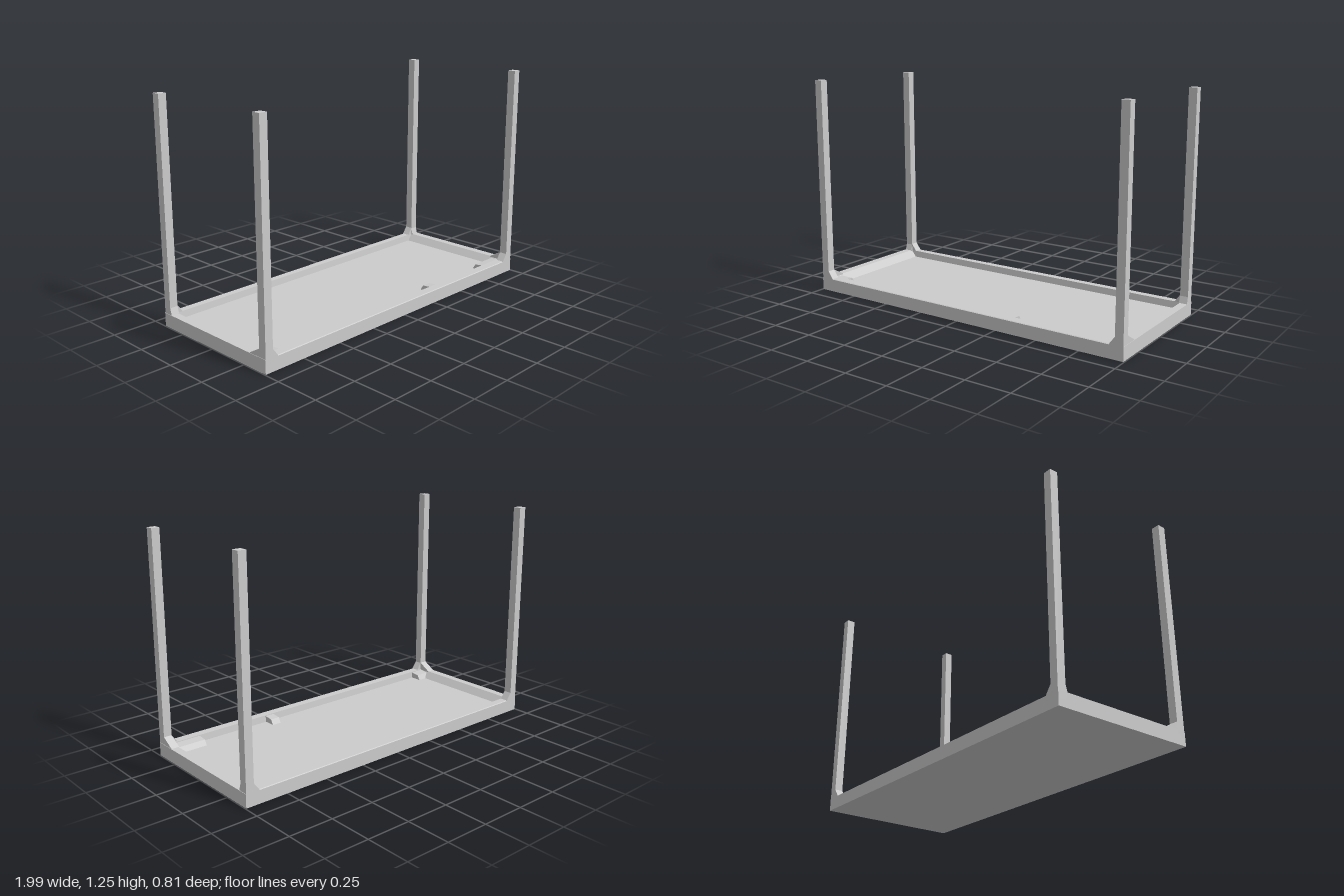
import * as THREE from 'three';

const material = new THREE.MeshStandardMaterial({ color: 0xcccccc, flatShading: true });

function add(group, name, geometry) {
  const mesh = new THREE.Mesh(geometry, material);
  mesh.name = name;
  group.add(mesh);
}

function box(x0, x1, y0, y1, z0, z1) {
  return new THREE.BoxGeometry(x1 - x0, y1 - y0, z1 - z0)
    .translate((x0 + x1) / 2, (y0 + y1) / 2, (z0 + z1) / 2);
}

// Outline in x and y, extruded from z0 to z1
function alongZ(points, z0, z1) {
  const shape = new THREE.Shape(points.map(([x, y]) => new THREE.Vector2(x, y)));
  return new THREE.ExtrudeGeometry(shape, { depth: z1 - z0, bevelEnabled: false }).translate(0, 0, z0);
}

// Outline in z and y, extruded from x0 to x1
function alongX(points, x0, x1) {
  return alongZ(points, -x1, -x0).rotateY(-Math.PI / 2);
}

export function createModel() {
  const group = new THREE.Group();
  const X = 0.996, Z = 0.407;            // half footprint
  const floor = 0.037, rim = 0.075;      // panel surface and rail top
  const legTop = 1.245, brace = 0.12;

  add(group, 'tablePanel', box(-X, X, 0, floor, -Z, Z));

  // Long rails with a nearly upright inner face
  for (const s of [-1, 1]) {
    const inner = s < 0 ? 0.357 : 0.35;
    add(group, s > 0 ? 'frontRail' : 'backRail', alongX([
      [s * Z, floor], [s * Z, rim - 0.003], [s * (Z - 0.005), rim],
      [s * (inner + 0.004), rim], [s * inner, floor],
    ], -X, X));
  }

  // End rails sloping down to the panel
  for (const s of [-1, 1]) {
    add(group, s > 0 ? 'leftRail' : 'rightRail', alongZ([
      [s * X, floor], [s * X, rim], [s * 0.952, rim], [s * 0.915, floor],
    ], -Z, Z));
  }

  // Upright legs with a brace along each rail
  for (const sx of [-1, 1]) for (const sz of [-1, 1]) {
    const name = (sz > 0 ? 'front' : 'back') + (sx > 0 ? 'Left' : 'Right');
    const xs = [sx * 0.948, sx * 0.994].sort((a, b) => a - b);
    const zs = [sz * 0.361, sz * Z].sort((a, b) => a - b);
    add(group, name + 'Leg', box(...xs, floor, legTop, ...zs));
    add(group, name + 'LongBrace', alongZ([
      [sx * 0.95, floor], [sx * 0.95, brace], [sx * 0.917, rim], [sx * 0.917, floor],
    ], ...zs));
    const reach = sz > 0 ? 0.287 : 0.35;
    add(group, name + 'EndBrace', alongX([
      [sz * 0.363, floor], [sz * 0.363, brace], [sz * reach, rim], [sz * reach, floor],
    ], ...xs));
  }

  // Sloped blocks behind the front rail
  for (const [x0, x1] of [[-0.95, -0.86], [0.28, 0.335], [0.78, 0.95]]) {
    add(group, 'frontBlock', alongX([
      [0.355, floor], [0.355, 0.071], [0.3, 0.066], [0.283, floor],
    ], x0, x1));
  }

  return group;
}
